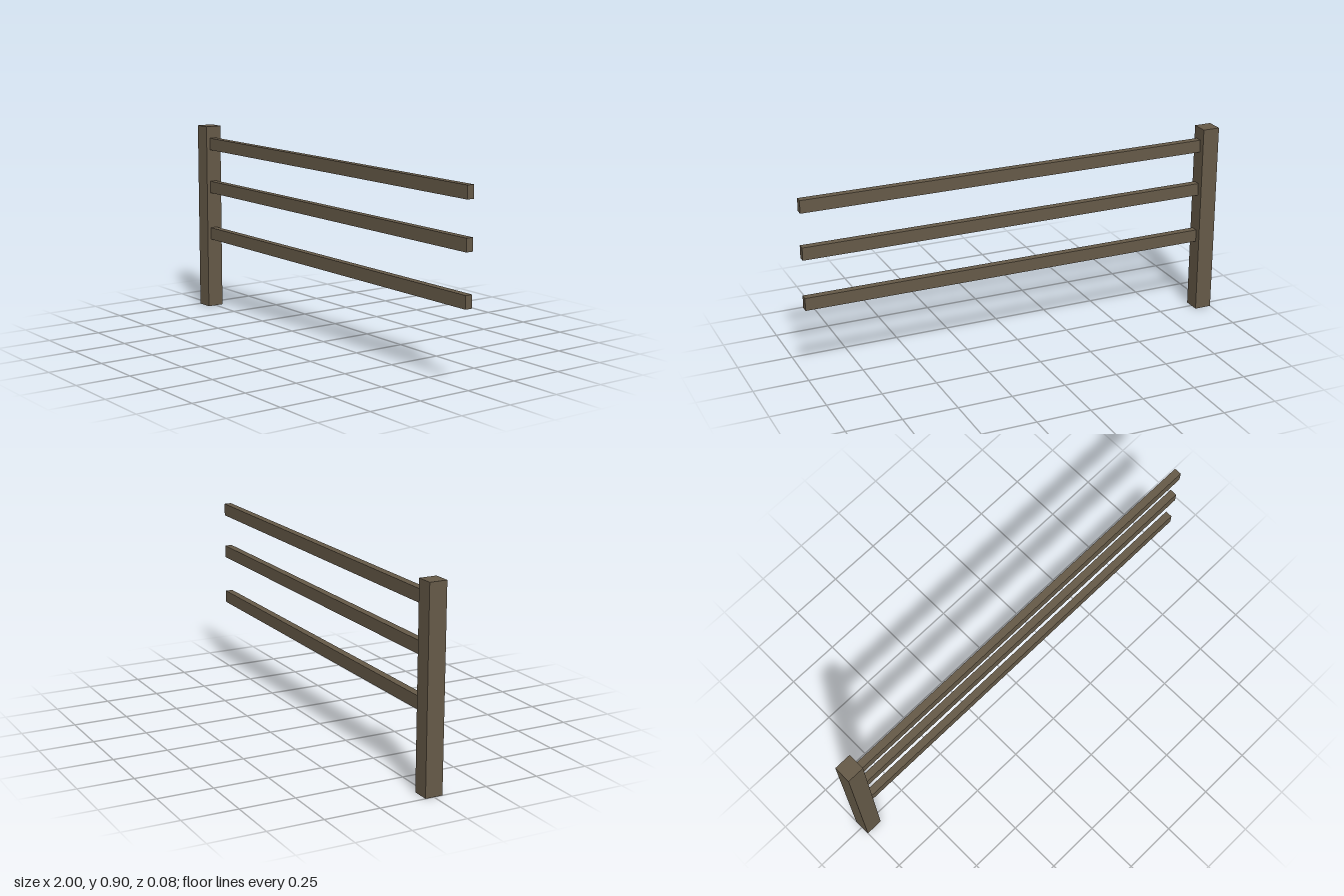
import * as THREE from 'three';

export function createModel() {
  const group = new THREE.Group();
  const wood = new THREE.MeshStandardMaterial({ color: 0x665a48 });
  wood.name = 'weathered wood';

  const addBeam = (name, size, position) => {
    const mesh = new THREE.Mesh(new THREE.BoxGeometry(...size), wood);
    mesh.name = name;
    mesh.position.set(...position);
    group.add(mesh);
  };

  // Upright post at the right-hand end
  addBeam('post', [0.08, 0.9, 0.08], [-0.96, 0.45, 0]);

  // Three rails butting against the post
  const railHeights = { lowerRail: 0.368, middleRail: 0.601, upperRail: 0.814 };
  for (const [name, y] of Object.entries(railHeights)) {
    addBeam(name, [1.92, 0.058, 0.034], [0.04, y, 0.005]);
  }
  return group;
}
